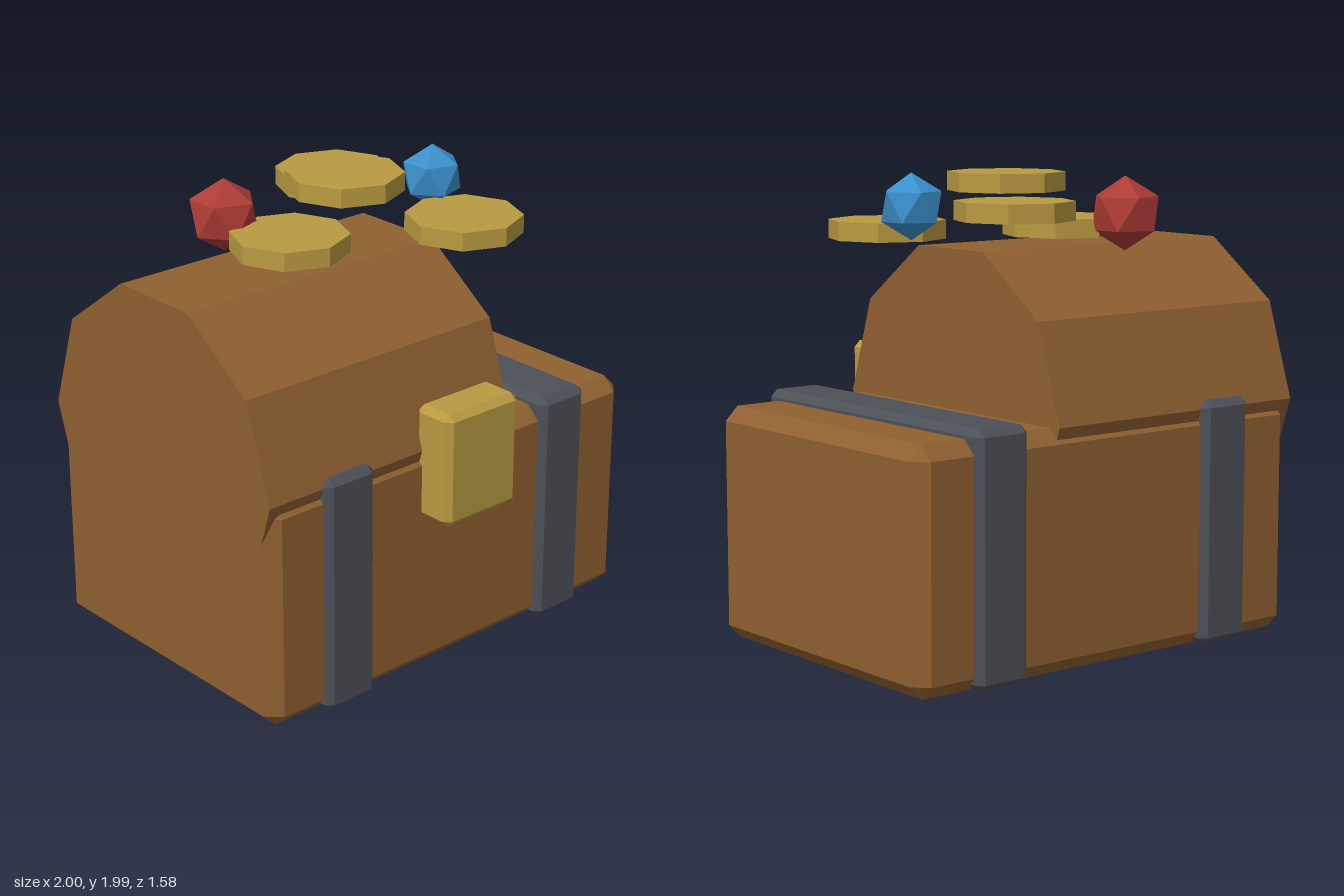
import * as THREE from 'three';
import { ConvexGeometry } from 'three/addons/geometries/ConvexGeometry.js';

const material = (name, color) => {
  const m = new THREE.MeshStandardMaterial({ color, flatShading: true });
  m.name = name;
  return m;
};

// Box with flat bevels of width c on every edge
function chamferBox(w, h, d, c) {
  const points = [];
  for (const x of [-w / 2, w / 2])
    for (const y of [-h / 2, h / 2])
      for (const z of [-d / 2, d / 2]) {
        const ix = x - Math.sign(x) * c, iy = y - Math.sign(y) * c, iz = z - Math.sign(z) * c;
        points.push(
          new THREE.Vector3(x, iy, iz),
          new THREE.Vector3(ix, y, iz),
          new THREE.Vector3(ix, iy, z)
        );
      }
  return new ConvexGeometry(points);
}

// Icosahedron standing on a vertex
function gemGeometry(r) {
  const g = new THREE.IcosahedronGeometry(r, 0);
  g.rotateX(-Math.atan((1 + Math.sqrt(5)) / 2));
  g.rotateY(Math.PI / 2);
  return g;
}

export function createModel() {
  const group = new THREE.Group();
  group.name = 'treasureChest';

  const wood = material('wood', 0x8f6030);
  const iron = material('iron', 0x4c5057);
  const gold = material('gold', 0xb99a41);
  const red = material('redGem', 0xad3b35);
  const blue = material('blueGem', 0x3a8fcb);

  const add = (name, geometry, mat, x, y, z) => {
    const mesh = new THREE.Mesh(geometry, mat);
    mesh.name = name;
    mesh.position.set(x, y, z);
    group.add(mesh);
  };
  const midZ = -0.063;

  // Wooden body
  add('body', chamferBox(2, 1, 1.4, 0.06), wood, 0, 0.5, midZ);

  // Ten-sided barrel lid, half sunk into the body
  const lid = new THREE.CylinderGeometry(0.7, 0.7, 1.3, 10).rotateZ(Math.PI / 2);
  add('lid', lid, wood, -0.35, 1.005, midZ);

  // Iron bands
  for (const [name, x] of [['leftBand', 0.6], ['rightBand', -0.6]])
    add(name, chamferBox(0.26, 1.04, 1.46, 0.03), iron, x, 0.522, midZ);

  // Lock plate
  add('lock', chamferBox(0.4, 0.495, 0.2, 0.028), gold, 0, 0.953, 0.69);

  // Floating coins
  const coin = new THREE.CylinderGeometry(0.25, 0.25, 0.08, 8);
  [[-0.3, 1.74, -0.06], [0, 1.94, -0.06], [0.2, 1.84, -0.36], [0.4, 1.74, 0.24]]
    .forEach((p, i) => add('coin' + (i + 1), coin, gold, ...p));

  // Gems
  add('redGem', gemGeometry(0.158), red, -0.4, 1.803, -0.363);
  add('blueGem', gemGeometry(0.138), blue, 0.5, 1.853, -0.063);

  return group;
}
